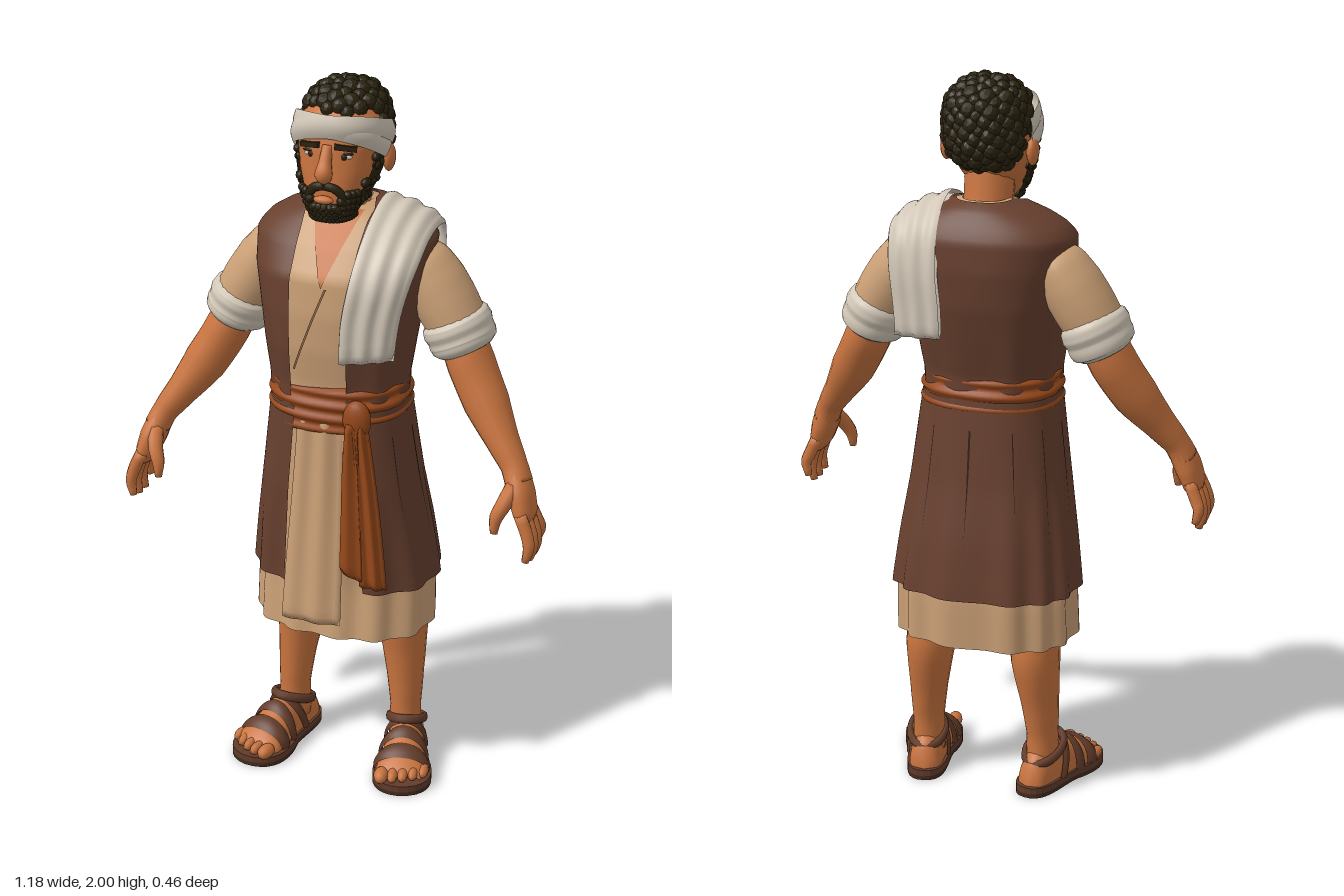
import * as THREE from 'three';
import { mergeVertices, mergeGeometries } from 'three/addons/utils/BufferGeometryUtils.js';

const paint = (name, color) => new THREE.MeshStandardMaterial({ name, color, side: THREE.DoubleSide });
const V = (x, y, z) => new THREE.Vector3(x, y, z);
const smooth = THREE.MathUtils.smoothstep;
const lerp = THREE.MathUtils.lerp;

// Body cross-sections from bottom to top: [y, centre z, half width, half depth]
const TORSO = [[1.05, .015, .165, .142], [1.2, .015, .17, .142], [1.3, .01, .185, .162], [1.4, 0, .2, .175],
  [1.5, -.01, .218, .175], [1.58, -.035, .228, .145], [1.61, -.042, .205, .122], [1.635, -.045, .165, .102], [1.66, -.045, .1, .08], [1.672, -.04, .06, .06]];
const SKIRT = [[.45, -.025, .24, .175], [.6, -.035, .237, .168], [.75, -.02, .219, .163], [.9, 0, .197, .155], [1.14, .015, .165, .14]];
const HEAD = [[1.64, .075, .01, .01], [1.655, .07, .045, .055], [1.69, .055, .065, .08], [1.73, .035, .085, .1],
  [1.78, .017, .102, .113], [1.84, .006, .109, .119], [1.9, -.008, .107, .117], [1.935, -.018, .085, .092], [1.965, -.02, .03, .03]];

function interp(rows, k) {
  let i = 0;
  while (i < rows.length - 2 && k > rows[i + 1][0]) i++;
  const t = THREE.MathUtils.clamp((k - rows[i][0]) / (rows[i + 1][0] - rows[i][0]), 0, 1);
  return rows[i].map((a, n) => lerp(a, rows[i + 1][n], t)).slice(1);
}
// Point on a squarish oval section; angle 0 is the front
function onBody(secs, a, y, off = 0, p = 2.4) {
  const [cz, rx, rz] = interp(secs, y);
  const pw = (v) => Math.sign(v) * Math.abs(v) ** (2 / p);
  return V(pw(Math.sin(a)) * (rx + off), y, cz + pw(Math.cos(a)) * (rz + off));
}
function angleAt(secs, x, y, p = 2.4) {
  const rx = interp(secs, y)[1];
  return Math.sign(x) * Math.asin(Math.min(1, Math.abs(x) / rx) ** (p / 2));
}
// Grid surface from f(u, v)
function sheet(name, mat, nu, nv, f) {
  const pos = [], idx = [];
  for (let j = 0; j <= nv; j++) for (let i = 0; i <= nu; i++) pos.push(...f(i / nu, j / nv).toArray());
  for (let j = 0; j < nv; j++) for (let i = 0; i < nu; i++) {
    const a = j * (nu + 1) + i, c = a + nu + 1;
    idx.push(a, a + 1, c + 1, a, c + 1, c);
  }
  let g = new THREE.BufferGeometry();
  g.setAttribute('position', new THREE.Float32BufferAttribute(pos, 3));
  g.setIndex(idx);
  g = mergeVertices(g);
  g.computeVertexNormals();
  return part(name, g, mat);
}
function part(name, geo, mat, x = 0, y = 0, z = 0) {
  const m = new THREE.Mesh(geo, mat);
  m.name = name;
  m.position.set(x, y, z);
  return m;
}
// Cloth or skin following the body between two angles
function shell(name, mat, secs, y0, y1, off, edge = () => [0, Math.PI * 2], fold = () => 0, nv = 18, nu = 64) {
  return sheet(name, mat, nu, nv, (u, v) => {
    const y = lerp(y0, y1, v), [a, b] = edge(y), t = lerp(a, b, u);
    return onBody(secs, t, y, off + fold(t, y, v));
  });
}
// Round-ended tube through [x, y, z, radius across, radius in depth]
function limb(name, mat, pts, nu = 14, nv = 14) {
  const curve = new THREE.CatmullRomCurve3(pts.map((p) => V(p[0], p[1], p[2])));
  const radii = pts.map((p, i) => [i / (pts.length - 1), p[3], p[4] ?? p[3]]);
  return sheet(name, mat, nu, nv + 2, (u, v) => {
    const j = Math.round(v * (nv + 2)), t = THREE.MathUtils.clamp((j - 1) / nv, 0, 1);
    const cap = j === 0 || j === nv + 2 ? 0 : 1, [ra, rb] = interp(radii, t);
    const tan = curve.getTangent(t), a = tan.clone().cross(V(0, 0, 1)).normalize(), b = tan.clone().cross(a);
    const w = u * Math.PI * 2;
    return curve.getPoint(t).addScaledVector(a, Math.cos(w) * ra * cap).addScaledVector(b, Math.sin(w) * rb * cap);
  });
}
// Folded cloth strip between two edges: [x, y, z, x, y, z] at each station
function strap(name, mat, st, thick, folds, depth, nv = 28) {
  const A = new THREE.CatmullRomCurve3(st.map((s) => V(s[0], s[1], s[2])));
  const B = new THREE.CatmullRomCurve3(st.map((s) => V(s[3], s[4], s[5])));
  return sheet(name, mat, 40, nv, (u, v) => {
    const w = u < .5 ? u * 2 : 2 - u * 2, side = (u < .5 ? 1 : -1) * (v > 0 && v < 1 ? 1 : 0);
    const a = A.getPoint(v), b = B.getPoint(v), tan = A.getTangent(v).add(B.getTangent(v));
    const n = b.clone().sub(a).cross(tan).normalize();
    return a.lerp(b, w).addScaledVector(n, side * thick / 2 + Math.sin(Math.PI * w) * .01 + Math.sin(w * Math.PI * 2 * folds) * depth);
  });
}
// Faceted curls merged into one mesh: [position, radius]
function curls(name, mat, list) {
  return part(name, mergeGeometries(list.map(([p, r], i) => {
    const g = new THREE.IcosahedronGeometry(r, 1).rotateX(i * 1.7).rotateY(i * 2.3).translate(p.x, p.y, p.z);
    g.computeVertexNormals();
    return g;
  })), mat);
}

export function createModel() {
  const skin = paint('skin', 0xc9743f), tunic = paint('tunic cloth', 0xcba076), vest = paint('vest cloth', 0x68402f);
  const linen = paint('linen', 0xd3c8b8), sash = paint('sash cloth', 0x96481a), hair = paint('hair', 0x2b2310);
  const leather = paint('sandal leather', 0x613b29), sole = paint('sole', 0x432a1f), dark = paint('dark line', 0x2e1c13);
  const seam = paint('tunic seam', 0x8d6844);
  const model = new THREE.Group();
  const group = (name) => { const g = new THREE.Group(); g.name = name; model.add(g); return g; };

  // Tunic, open neck and crossover seam
  const clothes = group('clothes');
  const around = () => [0, Math.PI * 2];
  const pleat = (a, y) => Math.sin(a * 13 + Math.sin(a * 3)) * .007 * smooth(1.05 - y, 0, .5);
  clothes.add(
    shell('tunicBody', tunic, TORSO, 1.05, 1.672, 0, around, undefined, 40),
    shell('neckOpening', skin, TORSO, 1.48, 1.67, .004, (y) => {
      const a = angleAt(TORSO, lerp(0, .07, (y - 1.48) / .19), y);
      return [-a, a];
    }, undefined, 14, 10),
    shell('crossoverSeam', seam, TORSO, 1.24, 1.48, .004, (y) => {
      const x = lerp(-.08, .012, (y - 1.24) / .24);
      return [angleAt(TORSO, x - .003, y), angleAt(TORSO, x + .003, y)];
    }, undefined, 14, 2),
    shell('tunicSkirt', tunic, SKIRT, .45, 1.1, .008, around, pleat, 20, 120),
    shell('tunicHem', tunic, SKIRT, .455, .451, -.012, around, (a, y, v) => v * .02 + pleat(a, y), 1, 120),
    strap('frontPanel', tunic, [[-.11, .51, .19, .06, .51, .192], [-.1, .7, .174, .06, .7, .178],
      [-.085, .9, .163, .06, .9, .165], [-.07, 1.12, .155, .06, 1.12, .155]], .008, 2, .005));

  // Vest above and below the waist, with creases in the cloth
  const open = (secs, left, right) => (y) => [angleAt(secs, left(y), y), Math.PI * 2 + angleAt(secs, right(y), y)];
  clothes.add(
    shell('vestBody', vest, TORSO, 1.12, 1.672, .015, open(TORSO, (y) => lerp(.06, .08, (y - 1.12) / .53), () => -.08),
      (a, y) => Math.sin(a * 9) * .004 * smooth(1.5 - y, 0, .3), 46),
    shell('vestSkirt', vest, SKIRT, .595, 1.14, .022, open(SKIRT, (y) => lerp(.1, .06, (y - .6) / .5), (y) => lerp(-.112, -.07, (y - .6) / .5)),
      pleat, 20, 120));
  for (let i = 0; i < 9; i++) {
    const a = 1.05 + i * .52, low = .74 + .06 * Math.sin(i * 4), w = (y) => .008 * smooth(y, low, 1.03);
    clothes.add(shell('skirtCrease', dark, SKIRT, low, 1.06, .0235, (y) => [a - w(y), a + w(y)], pleat, 14, 2));
  }

  // Wrapped sash with knot and hanging tails
  const belt = group('sash');
  belt.add(sheet('sashWrap', sash, 72, 30, (u, v) => {
    const a = u * Math.PI * 2, swell = Math.sin(v * Math.PI) ** .4 * .015;
    const p = onBody(TORSO, a, 1.13, .006 + swell + .005 * Math.sin(v * Math.PI * 7 + 1.6 * Math.sin(a * 2)));
    p.y = lerp(1.07, 1.2, v) + Math.sin(a * 2) * .008;
    return p;
  }));
  const knot = part('sashKnot', new THREE.SphereGeometry(1, 14, 10), sash, .1, 1.125, .168);
  knot.scale.set(.04, .055, .026);
  belt.add(knot,
    strap('longTail', sash, [[.12, .65, .2, .192, .64, .182], [.11, .8, .193, .175, .8, .177], [.1, .95, .185, .155, .95, .172],
      [.085, 1.12, .18, .13, 1.12, .17]], .014, 2, .006),
    strap('shortTail', sash, [[.07, .7, .215, .135, .665, .212], [.07, .85, .203, .125, .85, .2], [.07, 1, .193, .115, 1, .19],
      [.075, 1.12, .182, .11, 1.12, .182]], .014, 1, .006));

  // Cloth laid over the left shoulder
  clothes.add(strap('shoulderCloth', linen, [[.06, 1.29, .2, .195, 1.3, .15], [.065, 1.4, .2, .208, 1.41, .14],
    [.08, 1.5, .187, .228, 1.5, .12], [.088, 1.58, .132, .24, 1.555, .085], [.093, 1.645, .05, .243, 1.595, .02],
    [.095, 1.675, -.03, .243, 1.61, -.06], [.09, 1.66, -.11, .24, 1.595, -.13], [.085, 1.605, -.172, .232, 1.555, -.165],
    [.08, 1.5, -.203, .227, 1.5, -.178], [.07, 1.4, -.207, .218, 1.4, -.175], [.07, 1.32, -.203, .212, 1.31, -.172]], .012, 3, .004, 44));

  // Head, face and neck
  const head = group('head');
  head.add(limb('neck', skin, [[0, 1.56, -.05, .075], [0, 1.65, -.025, .066], [0, 1.75, -.005, .068]]),
    shell('face', skin, HEAD, 1.64, 1.965, 0, around, undefined, 40, 40),
    limb('nose', skin, [[0, 1.85, .116, .013], [0, 1.81, .135, .017], [0, 1.782, .145, .024], [0, 1.768, .135, .018]]),
    part('lips', new THREE.SphereGeometry(1, 10, 8).scale(.028, .011, .014), skin, 0, 1.715, .148));
  for (const s of [1, -1]) {
    const ear = part('ear', new THREE.SphereGeometry(1, 12, 10).scale(.016, .038, .027), skin, s * .119, 1.795, -.015);
    const brow = part('eyebrow', new THREE.BoxGeometry(.058, .014, .014), hair, s * .048, 1.848, .114);
    brow.rotation.set(0, s * .35, s * -.12);
    const eye = part('eye', new THREE.SphereGeometry(1, 10, 8).scale(.02, .008, .008), linen, s * .045, 1.824, .111);
    const pupil = part('pupil', new THREE.SphereGeometry(1, 8, 6).scale(.01, .009, .005), dark, s * .043, 1.824, .118);
    const lid = part('eyelid', new THREE.SphereGeometry(1, 10, 6).scale(.024, .004, .008), dark, s * .046, 1.833, .113);
    head.add(ear, brow, eye, pupil, lid,
      limb('moustache', hair, [[0, 1.75, .141, .012], [s * .03, 1.742, .136, .012], [s * .056, 1.705, .118, .011]], 8, 8));
  }

  // Beard with small curls
  const beardTop = (a) => 1.698 + .035 * smooth(Math.abs(a), .3, .65) + .11 * smooth(Math.abs(a), 1, 1.4);
  const chin = [], scalp = [];
  head.add(sheet('beard', hair, 40, 12, (u, v) => {
    const a = (u - .5) * 3.5;
    return onBody(HEAD, a, lerp(1.642, beardTop(a), v), .009);
  }));
  for (let i = -10; i <= 10; i++) for (let j = 0; j < 5; j++) {
    const a = (i + (j % 2) * .5) * .16;
    chin.push([onBody(HEAD, a, lerp(1.66, beardTop(a) - .006, j / 4), .005), .012]);
  }
  // Curly hair
  for (let i = 0; i < 210; i++) {
    const y = 1 - (i + .5) / 105, r = Math.sqrt(1 - Math.abs(y) ** 3), a = i * 2.39996;
    const p = V(Math.cos(a) * r * .101, 1.863 + y * .112, -.025 + Math.sin(a) * r * .112);
    if (p.y < 1.755 || (p.z > -.035 && p.y < 1.86) || (p.z > .01 && p.y < 1.925)) continue;
    scalp.push([p, .023 + .003 * Math.sin(i * 5)]);
  }
  head.add(curls('beardCurls', hair, chin), curls('hairCurls', hair, scalp),
    part('hairCap', new THREE.SphereGeometry(1, 24, 16).scale(.1, .112, .105), hair, 0, 1.868, -.03));

  // Headband of two crossing wraps
  for (const s of [1, -1]) head.add(sheet('headband', linen, 40, 8, (u, v) => {
    const a = (u - .5) * 3.6, mid = 1.9 + s * a * .012 - .02 * a * a;
    const p = onBody(HEAD, a, Math.min(mid, 1.895), .011 + .008 * Math.sin(Math.PI * v) + (s > 0 ? .003 : 0));
    p.y = mid + (v - .5) * .062;
    return p;
  }));

  for (const s of [1, -1]) {
    // Sleeve, rolled cuff, forearm and hand
    const arm = group(s > 0 ? 'leftArm' : 'rightArm');
    const bend = (name, mat, pts, nu, nv) => arm.add(limb(name, mat, pts.map(([x, ...r]) => [x * s, ...r]), nu, nv));
    bend('sleeve', tunic, [[.18, 1.535, -.048, .05, .07], [.205, 1.505, -.048, .074, .085], [.24, 1.455, -.048, .083, .092],
      [.275, 1.4, -.045, .084, .094], [.315, 1.335, -.04, .078, .09]], 20);
    bend('rolledCuff', linen, [[.291, 1.375, -.043, .076, .09], [.297, 1.362, -.043, .09, .104], [.306, 1.343, -.042, .094, .107],
      [.314, 1.326, -.041, .09, .1], [.321, 1.311, -.04, .091, .102], [.328, 1.296, -.038, .087, .098], [.334, 1.283, -.037, .07, .08]], 24, 24);
    bend('forearm', skin, [[.31, 1.34, -.04, .06, .07], [.35, 1.25, -.025, .063, .076], [.405, 1.155, .005, .061, .066],
      [.46, 1.075, .04, .045, .05], [.503, 1.015, .065, .036, .04], [.522, .975, .078, .036, .045]], 16, 20);
    bend('palm', skin, [[.508, 1.01, .067, .034, .038], [.53, .95, .085, .036, .055], [.547, .9, .095, .029, .058], [.553, .875, .097, .017, .05]]);
    for (let i = 0; i < 4; i++) {
      const z = .053 + i * .029, tip = .04 + i * .038, d = i === 0 ? .025 : i === 3 ? .01 : 0;
      bend('finger', skin, [[.545, .91, z, .018], [.567, .86, lerp(z, tip, .4), .018], [.575, .815 + d, lerp(z, tip, .8), .016],
        [.567, .775 + d, tip, .01]], 8, 8);
    }
    bend('thumb', skin, [[.515, .975, .105, .022], [.5, .935, .143, .021], [.485, .9, .16, .018], [.483, .86, .167, .01]], 8, 8);

    // Leg
    const leg = group(s > 0 ? 'leftLeg' : 'rightLeg');
    leg.add(limb('shin', skin, [[s * .145, .64, -.045, .08, .085], [s * .152, .48, -.06, .068, .082], [s * .155, .39, -.07, .067, .083],
      [s * .165, .26, -.06, .052, .063], [s * .17, .16, -.052, .043, .053], [s * .17, .06, -.05, .045, .055]], 18, 20));

    // Foot in a sandal: [z, half width, height]
    const foot = new THREE.Group();
    foot.name = 'foot';
    foot.position.x = s * .187;
    foot.rotation.y = s * .24;
    leg.add(foot);
    const FOOT = [[-.145, 0, 0], [-.14, .03, .04], [-.11, .045, .085], [-.05, .05, .12], [.02, .057, .1], [.08, .068, .068], [.13, .074, .044], [.155, .055, .02]];
    const onFoot = (z, a, off) => {
      const [w, h] = interp(FOOT, z);
      return V(Math.cos(a) * (w + off), .028 + Math.sin(a) * (h + off), z);
    };
    foot.add(sheet('footTop', skin, 18, 22, (u, v) => onFoot(lerp(.155, -.145, v), u * Math.PI, 0)));
    for (let i = 0; i < 5; i++) foot.add(part('toe', new THREE.SphereGeometry(1, 10, 8).scale(i ? .015 : .021, i ? .017 : .021, .032), skin,
      s * (-.052 + i * .028 + (i ? .004 : 0)), .042, .16 - i * i * .0025));
    const outline = new THREE.Shape();
    outline.moveTo(0, -.155);
    outline.bezierCurveTo(.07, -.155, .052, -.05, .064, .02);
    outline.bezierCurveTo(.1, .1, .1, .19, 0, .196);
    outline.bezierCurveTo(-.09, .19, -.095, .1, -.064, .02);
    outline.bezierCurveTo(-.052, -.05, -.07, -.155, 0, -.155);
    const slab = (name, mat, depth, y) => foot.add(part(name,
      new THREE.ExtrudeGeometry(outline, { depth, bevelEnabled: false, curveSegments: 10 }).rotateX(Math.PI / 2), mat, 0, y, 0));
    slab('sandalBed', leather, .018, .03);
    slab('sandalSole', sole, .012, .012);
    // Straps: [z at the sides, z at the top, width]
    for (const [z0, z1, w] of [[.09, .1, .045], [.04, .045, .036], [-.035, .008, .03]]) foot.add(
      sheet('sandalStrap', leather, 20, 4, (u, v) => onFoot(lerp(z0, z1, Math.sin(u * Math.PI)) + (.5 - v) * w, u * Math.PI, .004 + .008 * Math.sin(v * Math.PI))));
    const loop = part('ankleStrap', new THREE.TorusGeometry(1, .2, 8, 28).scale(.05, .068, .07), leather, 0, .112, -.05);
    loop.rotation.x = Math.PI / 2 - .4;
    foot.add(loop);
  }
  return model;
}
